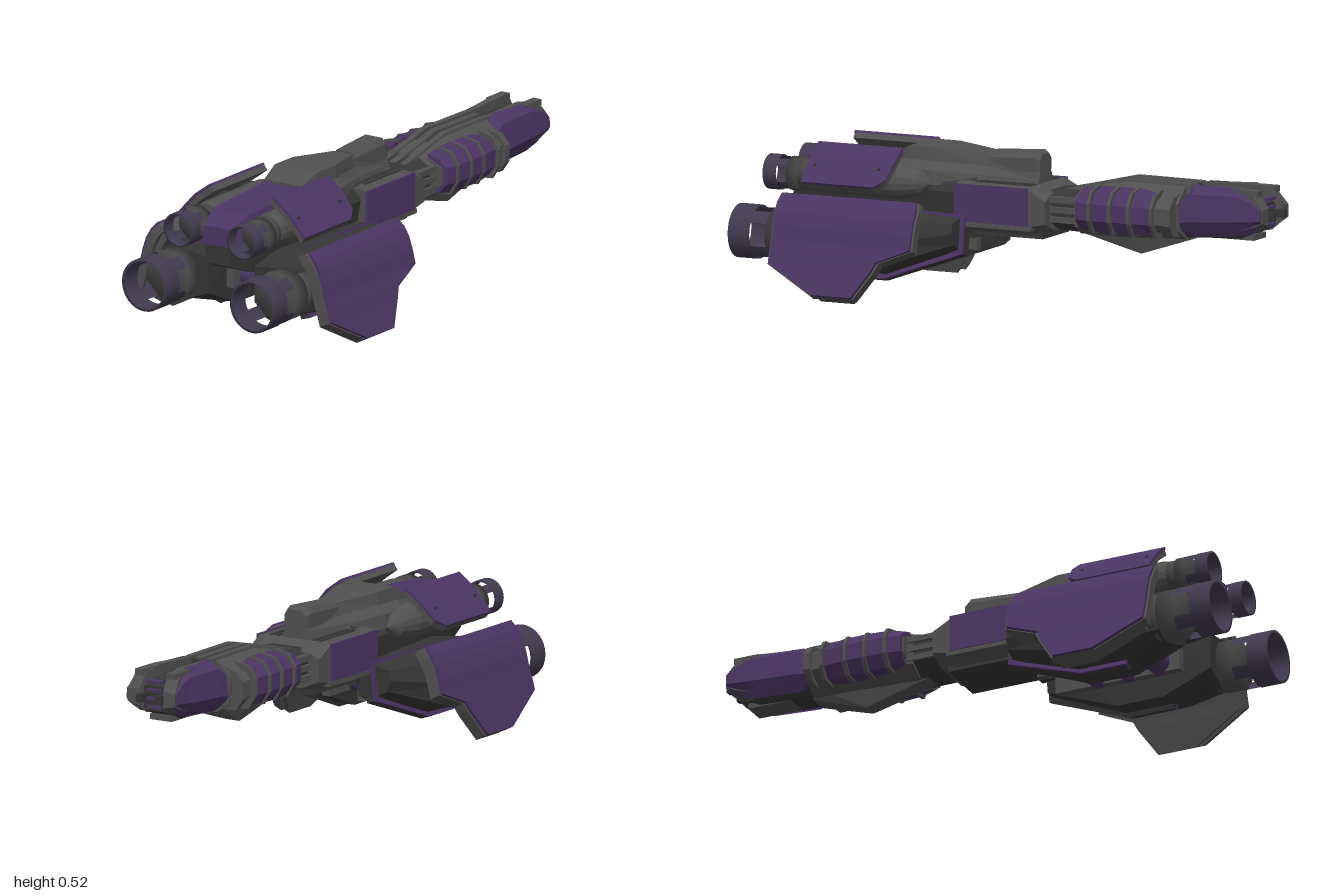
import * as THREE from 'three';

export function createModel() {
  const root = new THREE.Group();
  const mat = (name, color, extra = {}) => {
    const m = new THREE.MeshStandardMaterial({ color, flatShading: true, ...extra });
    m.name = name;
    return m;
  };
  const purple = mat('purple armour', 0x4b3563);
  const grey = mat('hull grey', 0x505050);
  const dark = mat('dark grey', 0x363636);
  const ringMat = mat('engine ring', 0x423b50, { side: THREE.DoubleSide, flatShading: false });
  const engineMat = mat('engine grey', 0x484848, { side: THREE.DoubleSide, flatShading: false });

  const add = (name, geo, m, parent = root) => {
    const mesh = new THREE.Mesh(geo, m);
    mesh.name = name;
    parent.add(mesh);
  };

  // Closed solid through rings of [x,y,z] points; winding is corrected by signed volume
  function loft(rings) {
    const tris = [], n = rings[0].length;
    for (let i = 0; i < rings.length - 1; i++)
      for (let j = 0; j < n; j++) {
        const k = (j + 1) % n, a = rings[i], b = rings[i + 1];
        tris.push([a[j], a[k], b[k]], [a[j], b[k], b[j]]);
      }
    const cap = (r, flip) => {
      const c = [0, 1, 2].map(d => r.reduce((s, p) => s + p[d], 0) / n);
      r.forEach((p, j) => {
        const q = r[(j + 1) % n];
        tris.push(flip ? [c, q, p] : [c, p, q]);
      });
    };
    cap(rings[0], true);
    cap(rings[rings.length - 1], false);
    let vol = 0;
    for (const [a, b, c] of tris)
      vol += a[0] * (b[1] * c[2] - b[2] * c[1]) - a[1] * (b[0] * c[2] - b[2] * c[0]) + a[2] * (b[0] * c[1] - b[1] * c[0]);
    if (vol < 0) tris.forEach(t => t.reverse());
    const g = new THREE.BufferGeometry();
    g.setAttribute('position', new THREE.Float32BufferAttribute(tris.flat(2), 3));
    g.computeVertexNormals();
    return g;
  }

  // Symmetric hull: stations [x, [[z,y]... from top to bottom]]
  const hull = st => loft(st.map(([x, h]) => [
    ...h.map(([z, y]) => [x, y, z]), ...[...h].reverse().map(([z, y]) => [x, y, -z])]));
  // Part on one side: stations [x, [[z,y]...]]
  const sidePart = (st, s) => loft(st.map(([x, p]) => p.map(([z, y]) => [x, y, z * s])));
  // Bent plate: levels [x0, x1, outerZ, outerY], thickness towards (dz,dy), offset in that direction
  const plate = (levels, s, dz, dy, from, to, grow = 0) => loft(levels.map(([a, b, z, y]) => {
    const o = [y + dy * from, (z + dz * from) * s], i = [y + dy * to, (z + dz * to) * s];
    return [[a - grow, ...o], [b + grow, ...o], [b + grow, ...i], [a - grow, ...i]];
  }));
  const box = (name, x0, x1, y0, y1, z0, z1, m) => {
    const g = new THREE.BoxGeometry(x1 - x0, y1 - y0, Math.abs(z1 - z0));
    g.translate((x0 + x1) / 2, (y0 + y1) / 2, (z0 + z1) / 2);
    add(name, g, m);
  };
  const both = fn => [1, -1].forEach(fn);

  // Central fuselage and tail
  add('tailHull', hull([
    [-0.88, [[0.05, 0.42], [0.06, 0.36], [0.05, 0.29]]],
    [-0.78, [[0.07, 0.46], [0.09, 0.38], [0.07, 0.25]]],
    [-0.47, [[0.08, 0.475], [0.12, 0.38], [0.10, 0.22]]],
    [-0.15, [[0.07, 0.44], [0.13, 0.38], [0.10, 0.22]]]]), dark);
  add('tailArmour', hull([
    [-0.885, [[0.055, 0.427], [0.066, 0.36]]],
    [-0.80, [[0.075, 0.466], [0.092, 0.40]]],
    [-0.465, [[0.085, 0.483], [0.10, 0.42]]]]), purple);
  // Dorsal hump and turret block
  add('dorsalHump', hull([
    [-0.48, [[0.075, 0.49], [0.095, 0.475], [0.11, 0.44], [0.115, 0.40]]],
    [-0.41, [[0.09, 0.526], [0.095, 0.48], [0.12, 0.455], [0.125, 0.40]]],
    [-0.30, [[0.09, 0.526], [0.095, 0.48], [0.12, 0.45], [0.125, 0.40]]],
    [-0.13, [[0.04, 0.515], [0.05, 0.47], [0.07, 0.44], [0.08, 0.40]]],
    [0.08, [[0.035, 0.47], [0.045, 0.45], [0.05, 0.43], [0.06, 0.38]]]]), grey);
  add('turretBlock', hull([
    [-0.12, [[0.03, 0.52], [0.045, 0.50], [0.045, 0.45]]],
    [0.06, [[0.035, 0.53], [0.05, 0.51], [0.05, 0.46]]],
    [0.08, [[0.025, 0.52], [0.045, 0.50], [0.045, 0.46]]]]), grey);
  // Mid body with purple flanks, grey sills and a slotted deck
  add('midBody', hull([
    [-0.20, [[0.12, 0.42], [0.15, 0.415], [0.15, 0.28], [0.09, 0.24]]],
    [0.08, [[0.12, 0.42], [0.15, 0.415], [0.15, 0.28], [0.09, 0.24]]],
    [0.155, [[0.11, 0.395], [0.15, 0.375], [0.15, 0.295], [0.08, 0.265]]]]), grey);
  both(s => {
    box('midFlank', -0.2, 0.085, 0.285, 0.418, 0.15 * s, 0.159 * s, purple);
    box('midSill', -0.2, 0.1, 0.268, 0.284, 0.12 * s, 0.157 * s, grey);
    for (const z of [0.075, 0.1]) box('deckSlot', -0.14, 0.08, 0.419, 0.423, (z - 0.008) * s, (z + 0.008) * s, dark);
  });
  box('midKeel', -0.3, 0.12, 0.235, 0.27, -0.1, 0.1, dark);
  // Neck with conduits
  add('neck', hull([
    [0.08, [[0.06, 0.40], [0.10, 0.37], [0.10, 0.30], [0.05, 0.27]]],
    [0.32, [[0.06, 0.42], [0.11, 0.39], [0.11, 0.30], [0.05, 0.26]]]]), dark);
  both(s => [0.31, 0.345, 0.38].forEach(y =>
    box('neckConduit', 0.1, 0.3, y - 0.01, y + 0.01, 0.09 * s, 0.118 * s, grey)));
  // Forward hull, spine and chin
  add('forwardHull', hull([
    [0.25, [[0.05, 0.42], [0.11, 0.39], [0.11, 0.29], [0.06, 0.26]]],
    [0.42, [[0.06, 0.455], [0.13, 0.40], [0.13, 0.30], [0.06, 0.26]]],
    [0.66, [[0.06, 0.455], [0.12, 0.40], [0.11, 0.30], [0.06, 0.27]]]]), grey);
  const spine = [[0.07, 0.385], [0.25, 0.425], [0.42, 0.465], [0.68, 0.463]];
  both(s => add('spineRail', sidePart(spine.map(([x, y]) =>
    [x, [[0.032, y], [0.055, y], [0.062, y - 0.05], [0.032, y - 0.05]]]), s), grey));
  add('spineChannel', hull(spine.map(([x, y]) => [x, [[0.034, y - 0.008], [0.034, y - 0.05]]])), dark);
  add('spineRidge', hull(spine.map(([x, y]) => [x, [[0.014, y], [0.014, y - 0.05]]])), grey);
  add('chin', hull([
    [0.22, [[0.05, 0.30], [0.035, 0.265]]],
    [0.41, [[0.06, 0.30], [0.03, 0.215]]],
    [0.47, [[0.06, 0.30], [0.028, 0.20]]],
    [0.67, [[0.06, 0.31], [0.035, 0.265]]]]), grey);
  // Banded side pods, slimmer at both ends
  const podRing = g => [[0.08, 0.435 + g], [0.135 + g, 0.42 + g], [0.164 + g, 0.385], [0.164 + g, 0.325], [0.135 + g, 0.285 - g], [0.08, 0.28 - g]];
  both(s => {
    add('podCore', sidePart([[0.27, podRing(-0.02)], [0.56, podRing(-0.008)], [0.65, podRing(-0.018)]], s), grey);
    [[0.275, 0.325, -0.008, 0], [0.345, 0.405, 0.002, 0.004], [0.425, 0.48, 0.004, 0.004], [0.5, 0.57, 0.004, -0.004]].forEach(([a, b, ga, gb]) => {
      add('podBand', sidePart([[a, podRing(ga)], [b, podRing(gb)]], s), purple);
      add('podClamp', sidePart([b + 0.002, b + 0.014].map(x => [x, podRing(0.008)]), s), grey);
    });
    add('podFrontClamp', sidePart([0.625, 0.65].map(x => [x, podRing(0)]), s), grey);
  });
  // Nose: purple cheeks outside flaring grey prongs, open centre with rungs
  add('noseCore', hull([
    [0.64, [[0.05, 0.44], [0.09, 0.40], [0.09, 0.31], [0.05, 0.275]]],
    [0.87, [[0.045, 0.43], [0.08, 0.40], [0.08, 0.32], [0.05, 0.285]]],
    [0.955, [[0.04, 0.41], [0.06, 0.39], [0.06, 0.34], [0.04, 0.32]]]]), dark);
  both(s => {
    add('noseCheek', sidePart([
      [0.65, [[0.05, 0.42], [0.10, 0.40], [0.11, 0.33], [0.08, 0.30]]],
      [0.70, [[0.05, 0.465], [0.10, 0.435], [0.114, 0.34], [0.08, 0.285]]],
      [0.87, [[0.07, 0.465], [0.10, 0.44], [0.113, 0.35], [0.08, 0.295]]],
      [0.93, [[0.088, 0.432], [0.102, 0.425], [0.11, 0.355], [0.08, 0.31]]],
      [0.975, [[0.1, 0.395], [0.105, 0.395], [0.107, 0.36], [0.095, 0.345]]]], s), purple);
    add('noseProng', sidePart([
      [0.68, [[0.035, 0.46], [0.05, 0.46], [0.06, 0.31], [0.035, 0.29]]],
      [0.87, [[0.04, 0.466], [0.07, 0.468], [0.09, 0.315], [0.04, 0.295]]],
      [0.945, [[0.045, 0.45], [0.092, 0.44], [0.098, 0.335], [0.045, 0.31]]],
      [0.98, [[0.05, 0.40], [0.1, 0.395], [0.1, 0.35], [0.05, 0.34]]]], s), grey);
    box('noseGun', 0.92, 1.0, 0.355, 0.385, 0.028 * s, 0.052 * s, dark);
    box('noseTopFin', 0.86, 0.955, 0.44, 0.462, 0.05 * s, 0.085 * s, grey);
  });
  [0.335, 0.365, 0.395, 0.425].forEach(y => box('noseRung', 0.94, 0.968, y - 0.005, y + 0.005, -0.03, 0.03, purple));
  box('noseKeel', 0.64, 0.92, 0.28, 0.3, -0.045, 0.045, grey);

  // Lower nacelles and fins
  both(s => {
    add('nacelle', sidePart([
      [-0.80, [[0.10, 0.28], [0.26, 0.29], [0.30, 0.22], [0.28, 0.14], [0.18, 0.12], [0.10, 0.15]]],
      [-0.62, [[0.08, 0.31], [0.16, 0.31], [0.295, 0.29], [0.315, 0.20], [0.305, 0.12], [0.17, 0.075], [0.10, 0.075]]],
      [-0.44, [[0.08, 0.31], [0.16, 0.31], [0.295, 0.29], [0.315, 0.20], [0.305, 0.12], [0.17, 0.075], [0.10, 0.075]]],
      [-0.17, [[0.08, 0.30], [0.16, 0.30], [0.225, 0.285], [0.235, 0.25], [0.22, 0.21], [0.16, 0.18], [0.10, 0.18]]]]
      .map(([x, p]) => [x, p.length < 7 ? [p[0], [0.16, 0.29], ...p.slice(1)] : p]), s), dark);
    const fin = [[-0.62, -0.155, 0.165, 0.312], [-0.64, -0.155, 0.182, 0.175], [-0.62, -0.45, 0.21, 0.07]];
    add('nacelleFin', plate(fin, s, -0.038, -0.012, 0.25, 1), dark);
    add('nacelleFinTrim', plate(fin, s, -0.038, -0.012, 0, 0.25, 0.002), purple);
    box('nacelleInnerRail', -0.7, -0.22, 0.15, 0.29, 0.06 * s, 0.09 * s, grey);
    // Rounded upper engine housing
    const profile = [[0, -0.77], [0.058, -0.77], [0.063, -0.74], [0.063, -0.42], [0.045, -0.34], [0, -0.3]];
    add('upperHousing', new THREE.LatheGeometry(profile.map(p => new THREE.Vector2(...p)), 16)
      .rotateZ(-Math.PI / 2).translate(0, 0.405, 0.128 * s), grey);

    // Large lower wing: purple skin over layered grey slabs
    const wing = [[-0.785, -0.26, 0.325, 0.367], [-0.79, -0.25, 0.35, 0.34], [-0.79, -0.25, 0.371, 0.305], [-0.79, -0.25, 0.386, 0.26],
      [-0.79, -0.25, 0.398, 0.21], [-0.79, -0.375, 0.414, 0.16], [-0.79, -0.39, 0.422, 0.13], [-0.61, -0.455, 0.452, 0.035]];
    add('wingSkin', plate(wing, s, -0.06, -0.03, 0, 0.16), purple);
    add('wingSlab', plate(wing, s, -0.06, -0.03, 0.16, 0.65, 0.008), grey);
    add('wingInner', plate(wing, s, -0.06, -0.03, 0.65, 1, -0.012), grey);
    for (const x of [-0.68, -0.4]) box('wingStrut', x - 0.05, x + 0.05, 0.2, 0.27, 0.26 * s, 0.345 * s, dark);

    // Upper armour plate with bolts
    const upper = [[-0.74, -0.41, 0.138, 0.525], [-0.74, -0.41, 0.20, 0.48], [-0.74, -0.42, 0.25, 0.425], [-0.74, -0.46, 0.272, 0.40]];
    add('upperPlate', plate(upper, s, -0.02, -0.024, 0, 0.3), purple);
    add('upperPlateBacking', plate(upper, s, -0.02, -0.024, 0.3, 1, -0.004), grey);
    for (const x of [-0.62, -0.47]) box('plateStrut', x - 0.03, x + 0.03, 0.42, 0.46, 0.14 * s, 0.195 * s, dark);
    for (const x of [-0.71, -0.46]) box('plateBolt', x - 0.005, x + 0.005, 0.45, 0.46, 0.215 * s, 0.226 * s, dark);
  });

  // Belly cross barrels between the nacelles
  for (const x of [-0.62, -0.5, -0.38])
    add('bellyBarrel', new THREE.CylinderGeometry(0.042, 0.042, 0.16, 20).rotateX(Math.PI / 2).translate(x, 0.187, 0), purple);

  // Engines: sleeve, windowed strut ring and open exhaust ring
  function engine(y, z, r, back, len, front) {
    const g = new THREE.Group();
    g.name = 'engine';
    g.position.set(back, y, z);
    root.add(g);
    const tube = (name, a, b, ro, ri, m, p0 = 0, pl = Math.PI * 2) => {
      const pts = [[ri, a], [ro, a], [ro, b], [ri, b], [ri, a]].map(p => new THREE.Vector2(...p));
      const geo = new THREE.LatheGeometry(pts, pl < 6 ? 6 : 32, p0, pl).rotateZ(-Math.PI / 2);
      add(name, geo, m, g);
    };
    tube('exhaustRing', 0, len * 0.38, r, r * 0.9, ringMat);
    for (let i = 0; i < 4; i++)
      tube('exhaustStrut', len * 0.38, len * 0.68, r * 0.97, r * 0.88, ringMat, Math.PI * (i / 2 + 0.165), Math.PI * 0.17);
    tube('engineSleeve', len * 0.68, len, r * 0.96, 0.001, engineMat);
    tube('engineCore', len, front - back, r * 0.8, 0.001, engineMat);
    tube('engineCollar', len * 1.08, len * 1.25, r * 0.88, r * 0.7, engineMat);
  }
  both(s => {
    engine(0.205, 0.23 * s, 0.095, -1, 0.21, -0.7);
    engine(0.405, 0.135 * s, 0.062, -0.93, 0.13, -0.7);
  });
  return root;
}
